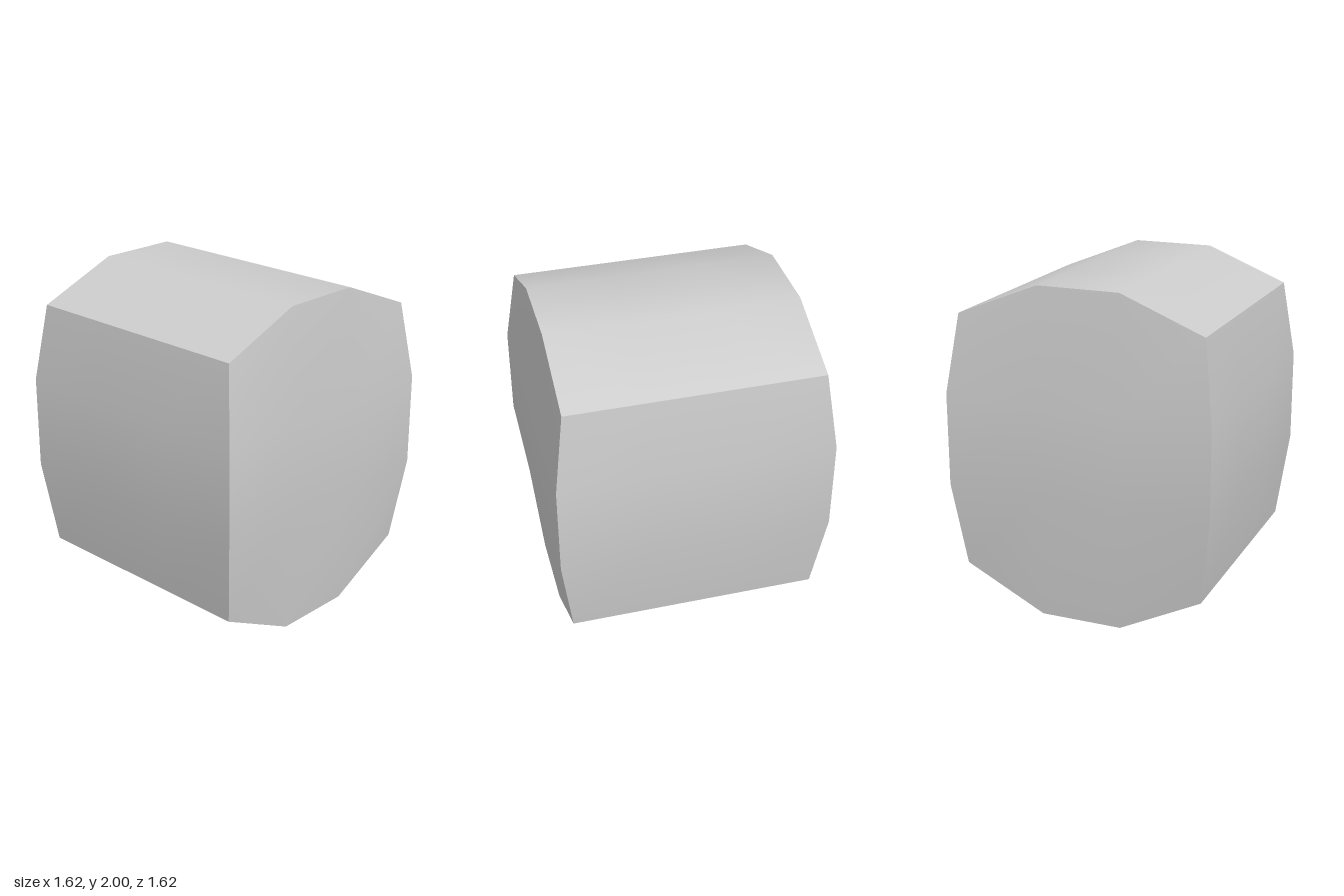
import * as THREE from 'three';
import { toCreasedNormals } from 'three/addons/utils/BufferGeometryUtils.js';

export function createModel() {
  const group = new THREE.Group();
  const grey = new THREE.MeshStandardMaterial({ color: 0xcccccc });
  grey.name = 'plain grey';

  const edge = 0.745; // half width at the end caps
  const bulge = 0.81; // half width around the middle
  const spread = [-1, -1 / 3, 1 / 3, 1];
  const topArch = [1.8, 2, 2, 1.8];
  const bottomArch = [0.25, 0, 0, 0.25];
  const flat = (y) => [y, y, y, y];

  const positions = [];
  // Joins rows of points, listed from top to bottom and left to right as seen from outside
  const addPatch = (rows) => {
    for (let r = 0; r < rows.length - 1; r++) {
      for (let c = 0; c < 3; c++) {
        const a = rows[r][c], b = rows[r][c + 1];
        const d = rows[r + 1][c], e = rows[r + 1][c + 1];
        for (const p of [a, d, b, b, d, e]) positions.push(...p);
      }
    }
  };

  // Four bulging walls: front and back end in arches, the sides in straight edges
  const wallRows = (top, bottom) =>
    [[top, edge], [flat(1.33), bulge], [flat(0.77), bulge], [bottom, edge]]
      .map(([ys, half]) => spread.map((s, i) => [s * half, ys[i], half]));
  const arched = wallRows(topArch, bottomArch);
  const straight = wallRows(flat(1.8), flat(0.25));
  addPatch(arched);
  addPatch(arched.map((row) => row.map(([x, y, z]) => [-x, y, -z])));
  addPatch(straight.map((row) => row.map(([x, y, z]) => [z, y, -x])));
  addPatch(straight.map((row) => row.map(([x, y, z]) => [-z, y, x])));

  // Arched top and bottom
  const capRows = (ys, side) =>
    spread.map((t) => spread.map((s, i) => [s * edge, ys[i], t * side * edge]));
  addPatch(capRows(topArch, 1));
  addPatch(capRows(bottomArch, -1));

  const geometry = new THREE.BufferGeometry();
  geometry.setAttribute('position', new THREE.Float32BufferAttribute(positions, 3));

  // Smooth within each face, sharp where faces meet
  const body = new THREE.Mesh(toCreasedNormals(geometry, 0.75), grey);
  body.name = 'barrelBlock';
  group.add(body);
  return group;
}
